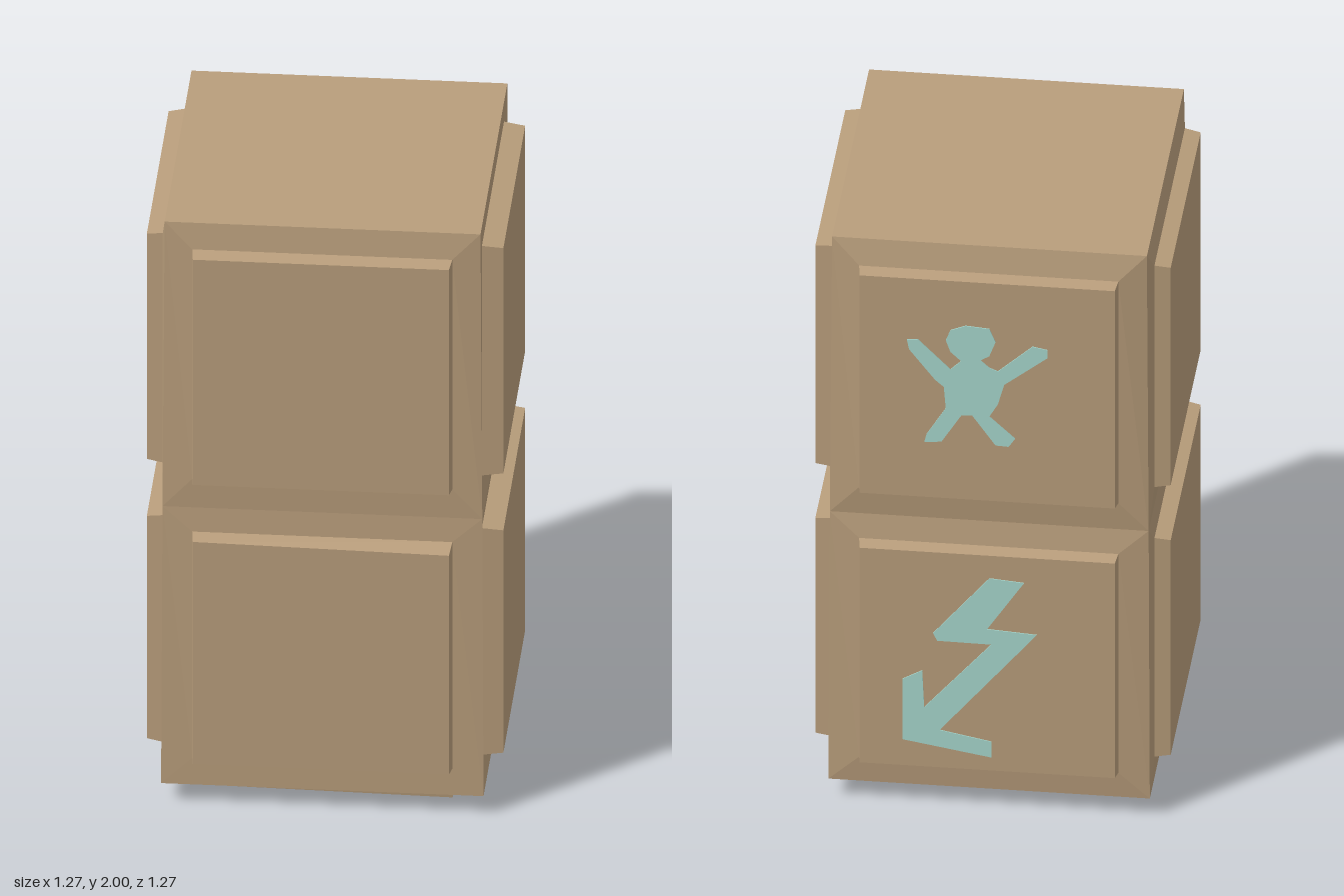
import * as THREE from 'three';

const wood = new THREE.MeshStandardMaterial({ color: 0xb89d7b });
wood.name = 'tan wood';
const paint = new THREE.MeshStandardMaterial({ color: 0xa6d6cc });
paint.name = 'pale teal paint';

// Corners of a rectangle facing +z, counter-clockwise from bottom left
const rect = (hw, y0, y1, z, hwTop = hw, zTop = z) => [
  [-hw, y0, z], [hw, y0, z], [hwTop, y1, zTop], [-hwTop, y1, zTop]];

// Flat-sided ring from quad a to quad b, optionally closed over b
function loft(name, a, b, cap) {
  const pos = [];
  const quad = (p, q, r, s) => pos.push(...p, ...q, ...r, ...p, ...r, ...s);
  for (let i = 0; i < 4; i++) {
    const j = (i + 1) % 4;
    quad(a[i], a[j], b[j], b[i]);
  }
  if (cap) quad(...b);
  const geo = new THREE.BufferGeometry();
  geo.setAttribute('position', new THREE.Float32BufferAttribute(pos, 3));
  geo.computeVertexNormals();
  const mesh = new THREE.Mesh(geo, wood);
  mesh.name = name;
  return mesh;
}

// Thin painted plate from an outline given in hundredths
function sign(name, pts, y) {
  const shape = new THREE.Shape(pts.map(([x, h]) => new THREE.Vector2(x / 100, h / 100)));
  const mesh = new THREE.Mesh(
    new THREE.ExtrudeGeometry(shape, { depth: 0.004, bevelEnabled: false }), paint);
  mesh.name = name;
  mesh.position.set(0, y, 0.542);
  return mesh;
}

const figure = [
  [-11.2, 21.3], [-6.6, 23.2], [0.7, 22.6], [2.6, 18], [0.7, 12.9], [-2, 11.2], [0.7, 8.7],
  [3.3, 7.6], [13.9, 17.2], [18.5, 16.3], [18.5, 13.5], [5.3, 3], [3.3, -4.2], [0.7, -8.7],
  [8.6, -16.1], [6.6, -19.1], [2.6, -18.9], [-4.6, -8.6], [-7.9, -9], [-13.9, -18.7],
  [-19.2, -19.3], [-18.5, -16.4], [-12.6, -6.7], [-13.2, 0.9], [-15.9, 3.3], [-23.8, 13.6],
  [-24.5, 17], [-21.2, 17.4], [-11.2, 7.3], [-7.9, 10.5], [-11.2, 13.6], [-12.6, 17.6]];

const boltArrow = [
  [0.7, 30.3], [-16.5, 9.5], [-15.2, 6.9], [1.3, 6.7], [-19.2, -17.2], [-19.8, -4.1],
  [-25.8, -7.5], [-25.8, -29.1], [1.3, -33.7], [1.3, -28.1], [-14.5, -25], [15.2, 11.1],
  [0, 12.1], [11.3, 29.4]];

export function createModel() {
  const crate = new THREE.Group();
  crate.name = 'stackedCrates';

  // Half-widths of the body at the bottom, the seam and the top
  const levels = [[0.065, 0.491], [1.02, 0.487], [2, 0.481]];
  const spans = [[0.16, 0.935], [1.125, 1.91]];
  const sides = [
    { name: 'front', depth: 0.492, drop: 0.012 },
    { name: 'left', depth: 0.478, drop: 0 },
    { name: 'back', depth: 0.5, drop: 0 },
    { name: 'right', depth: 0.494, drop: 0 }];

  sides.forEach(({ name, depth, drop }, k) => {
    const side = new THREE.Group();
    side.name = name + 'Side';
    side.rotation.y = k * Math.PI / 2;
    spans.forEach(([y0, y1], i) => {
      const [lo, hi] = [levels[i], levels[i + 1]];
      const inner = rect(0.396, y0 - 0.004, y1 + 0.004, depth);
      const face = rect(0.39, y0 + 0.003, y1 - 0.004, 0.543);
      if (i === 0) face[2][1] -= drop;
      // Frame around the panel, then the raised panel
      side.add(loft('frame', rect(lo[1], lo[0], hi[0], lo[1], hi[1], hi[1]), inner, false));
      side.add(loft('panel', inner, face, true));
    });
    if (name === 'back') {
      side.add(sign('paintedFigure', figure, 1.518), sign('paintedBoltArrow', boltArrow, 0.548));
    }
    crate.add(side);
  });

  // Plain top
  const top = new THREE.Mesh(new THREE.PlaneGeometry(0.962, 0.962), wood);
  top.name = 'top';
  top.rotation.x = -Math.PI / 2;
  top.position.y = 2;
  crate.add(top);

  // Underside frame and its slightly skewed foot panel
  const base = new THREE.Group();
  base.name = 'underside';
  base.rotation.x = Math.PI / 2;
  const baseInner = rect(0.396, -0.396, 0.396, -0.06);
  const foot = rect(0.388, -0.388, 0.388, 0);
  [-0.015, -0.03, 0, -0.01].forEach((z, i) => { foot[i][2] = z; });
  base.add(loft('baseFrame', rect(0.491, -0.491, 0.491, -0.065), baseInner, false));
  base.add(loft('footPanel', baseInner, foot, true));
  crate.add(base);

  crate.rotation.y = 0.305;
  const model = new THREE.Group();
  model.add(crate);
  return model;
}
